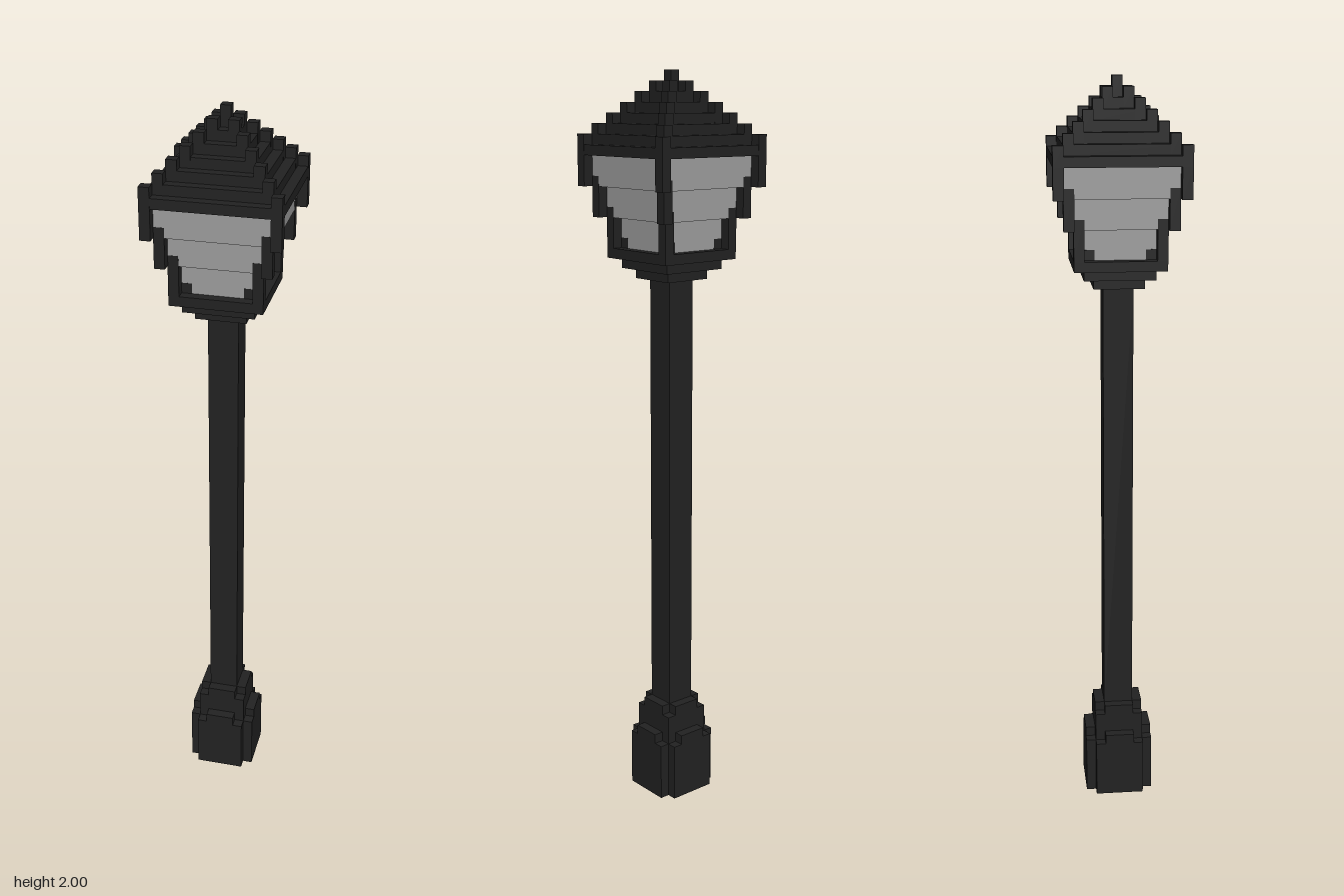
import * as THREE from 'three';

const V = 2 / 75; // size of one block

export function createModel() {
  const iron = new THREE.MeshStandardMaterial({ color: 0x222222 });
  iron.name = 'dark iron';
  const glass = new THREE.MeshStandardMaterial({ color: 0x9e9e9e });
  glass.name = 'grey glass';

  const lamp = new THREE.Group();
  lamp.name = 'streetLamp';

  // Box measured in blocks: width, depth, bottom and top layer, centre
  const box = (parent, name, mat, w, d, y0, y1, x = 0, z = 0) => {
    const mesh = new THREE.Mesh(new THREE.BoxGeometry(w * V, (y1 - y0) * V, d * V), mat);
    mesh.position.set(x * V, ((y0 + y1) / 2) * V, z * V);
    mesh.name = name;
    parent.add(mesh);
  };
  // The same column at all four corners, a hair proud of its neighbours
  const corners = (parent, name, r, y0, y1) => {
    for (const sx of [-1, 1]) for (const sz of [-1, 1]) {
      box(parent, name, iron, 1.03, 1.03, y0, y1, sx * r, sz * r);
    }
  };
  // Square block with its corners cut away
  const cross = (parent, name, w, inner, y0, y1) => {
    box(parent, name, iron, w, inner, y0, y1);
    box(parent, name, iron, inner, w, y0, y1);
  };
  const section = (name) => {
    const g = new THREE.Group();
    g.name = name;
    lamp.add(g);
    return g;
  };

  // Stepped foot
  const base = section('base');
  cross(base, 'foot', 7, 5, 0, 6);
  cross(base, 'footTop', 7, 3, 6, 7);
  box(base, 'collar', iron, 5, 5, 6, 9);
  cross(base, 'collarTop', 5, 3, 9, 10);

  // Pole
  box(lamp, 'pole', iron, 3, 3, 10, 55);

  // Lantern cup widening upwards
  const cup = section('lanternCup');
  [5, 7, 9].forEach((w, i) => box(cup, 'cupStep', iron, w, w, 55 + i, 56 + i));

  // Three glass tiers, each set behind corner posts
  const lantern = section('lantern');
  for (let i = 0; i < 3; i++) {
    const y = 58 + i * 3;
    box(lantern, 'glassTier', glass, 7 + 2 * i, 7 + 2 * i, y, y + 3);
    corners(lantern, 'cornerPost', 4 + i, y, y + (i < 2 ? 4 : 3));
  }
  corners(lantern, 'lowerCornerBlock', 3, 58, 59);

  // Stepped roof with raised hips
  const roof = section('roof');
  for (let r = 6; r > 0; r--) {
    const y = 73 - r;
    box(roof, 'roofStep', iron, 2 * r + 1, 2 * r + 1, y, y + 1);
    corners(roof, 'hipBlock', r, y, y + 2);
  }
  box(roof, 'finial', iron, 1, 1, 73, 75);

  return lamp;
}
